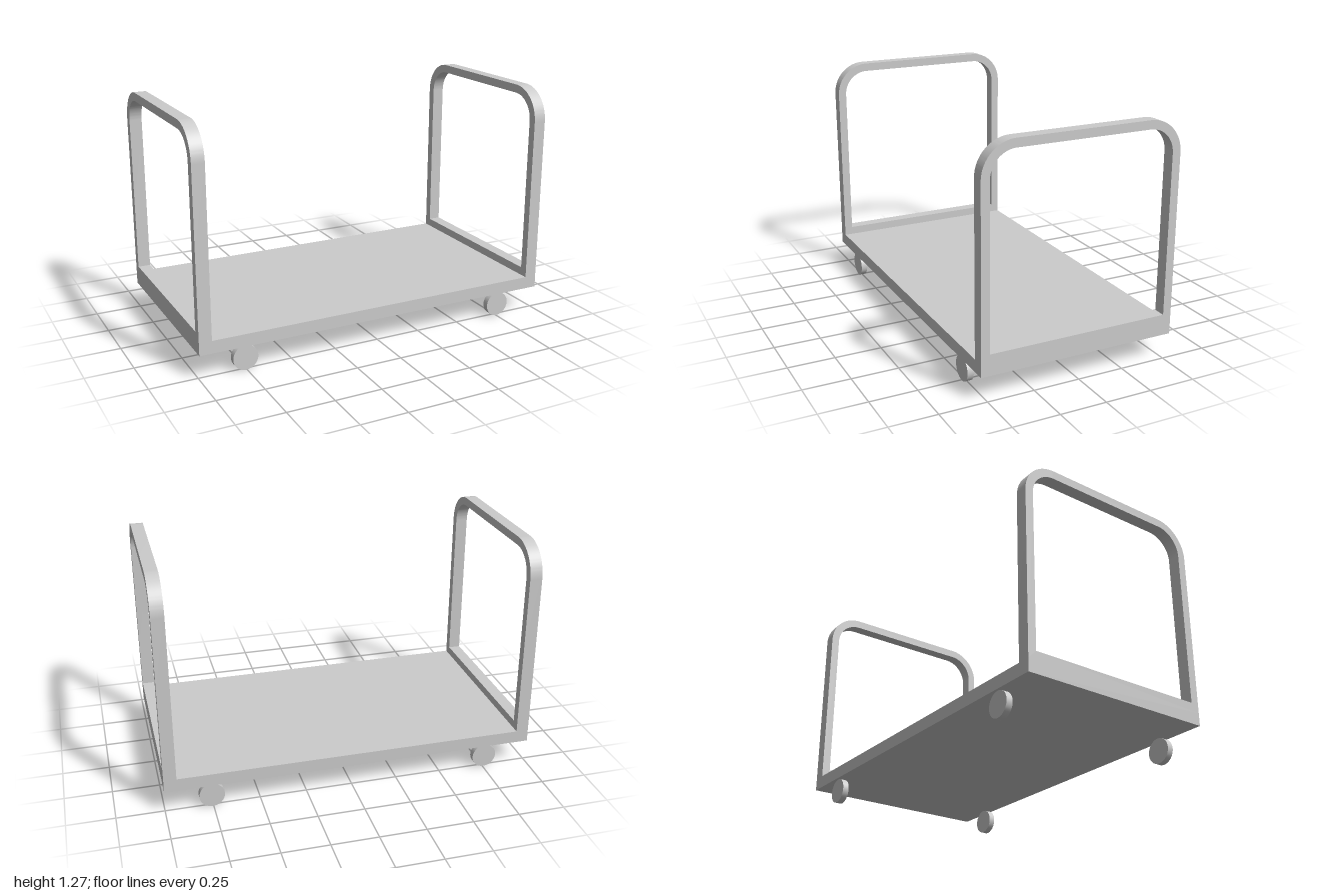
import * as THREE from 'three';
import { toCreasedNormals } from 'three/addons/utils/BufferGeometryUtils.js';

const material = new THREE.MeshStandardMaterial({ color: 0xcccccc });

const HALF_DEPTH = 0.533;
const DECK_BOTTOM = 0.133;
const DECK_TOP = 0.2;
const FRAME_WIDTH = 0.067;
const FRAME_TOP = 1.267;
const TUBE = 0.045;
const OUTER_RADIUS = 0.178;
const WHEEL_RADIUS = 0.0667;

// Upright rectangle with rounded top corners
function archPath(path, halfWidth, bottom, top, radius) {
  path.moveTo(-halfWidth, bottom);
  path.lineTo(halfWidth, bottom);
  path.lineTo(halfWidth, top - radius);
  path.absarc(halfWidth - radius, top - radius, radius, 0, Math.PI / 2, false);
  path.lineTo(-halfWidth + radius, top);
  path.absarc(-halfWidth + radius, top - radius, radius, Math.PI / 2, Math.PI, false);
  path.lineTo(-halfWidth, bottom);
  return path;
}

function addMesh(group, name, geometry, x, y, z) {
  const mesh = new THREE.Mesh(geometry, material);
  mesh.name = name;
  mesh.position.set(x, y, z);
  group.add(mesh);
}

export function createModel() {
  const cart = new THREE.Group();
  cart.name = 'platformCart';

  // Flat load deck
  const deckHeight = DECK_TOP - DECK_BOTTOM;
  addMesh(cart, 'deck', new THREE.BoxGeometry(2, deckHeight, HALF_DEPTH * 2),
    0, DECK_BOTTOM + deckHeight / 2, 0);

  // Closed handle frame, used at both ends
  const outline = archPath(new THREE.Shape(), HALF_DEPTH, DECK_TOP, FRAME_TOP, OUTER_RADIUS);
  outline.holes.push(archPath(new THREE.Path(), HALF_DEPTH - TUBE, DECK_TOP + TUBE,
    FRAME_TOP - TUBE, OUTER_RADIUS - TUBE));
  const frame = toCreasedNormals(new THREE.ExtrudeGeometry(outline, {
    depth: FRAME_WIDTH, bevelEnabled: false, curveSegments: 16,
  }).translate(0, 0, -FRAME_WIDTH / 2).rotateY(Math.PI / 2), Math.PI / 6);

  // Thin disc wheel with its axle along z
  const wheel = new THREE.CylinderGeometry(WHEEL_RADIUS, WHEEL_RADIUS, 0.034, 40).rotateX(Math.PI / 2);

  for (const sx of [1, -1]) {
    const side = sx > 0 ? 'left' : 'right';
    addMesh(cart, `${side}HandleFrame`, frame, sx * (1 - FRAME_WIDTH / 2), 0, 0);
    for (const sz of [1, -1]) {
      addMesh(cart, `${side}${sz > 0 ? 'Front' : 'Back'}Wheel`, wheel,
        sx * 0.755, WHEEL_RADIUS, sz * 0.502);
    }
  }
  return cart;
}
